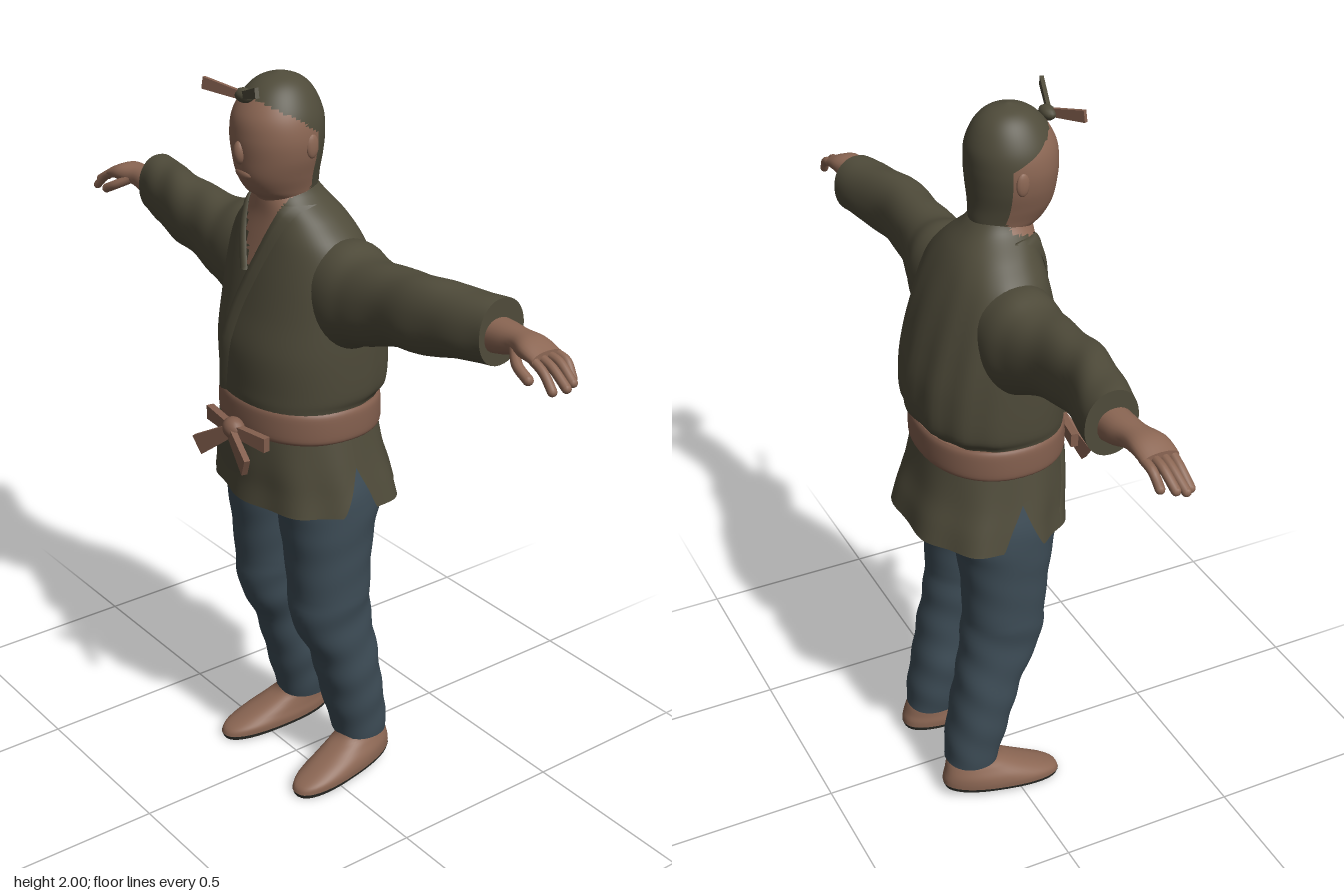
import * as THREE from 'three';

const mat = (name, color, side = THREE.FrontSide) => {
  const m = new THREE.MeshStandardMaterial({ color, side });
  m.name = name;
  return m;
};

// smooth interpolation through rows of numbers, t in 0..rows-1
function sampleRow(rows, t) {
  const i = Math.min(Math.floor(t), rows.length - 2), f = t - i;
  const b = rows[i], c = rows[i + 1];
  const a = rows[Math.max(i - 1, 0)], d = rows[Math.min(i + 2, rows.length - 1)];
  return b.map((_, k) => b[k] + 0.5 * f * (c[k] - a[k] + f * (2 * a[k] - 5 * b[k] + 4 * c[k] - d[k]
    + f * (3 * (b[k] - c[k]) + d[k] - a[k]))));
}

// rows: [y, centreX, centreZ, radiusX, radiusZ], rising in y
// warp scales the radius, arc limits the sweep, pick chooses a material index per face
function loft(rows, { seg = 40, sub = 5, n = 2.2, warp, arc, pick } = {}) {
  const pos = [], faces = [[], []], steps = (rows.length - 1) * sub;
  const cols = arc ? seg + 1 : seg;
  for (let i = 0; i <= steps; i++) {
    const [y, cx, cz, rx, rz] = sampleRow(rows, i / sub);
    const [a0, a1] = arc ? arc(i / steps) : [0, Math.PI * 2];
    for (let j = 0; j < cols; j++) {
      const a = a0 + (a1 - a0) * j / seg, c = Math.cos(a), s = Math.sin(a);
      const k = warp ? warp(a, y) : 1;
      pos.push(cx + k * rx * Math.sign(c) * Math.abs(c) ** (2 / n), y,
        cz + k * rz * Math.sign(s) * Math.abs(s) ** (2 / n));
    }
  }
  const add = (a, b, c) => {
    const mid = [0, 1, 2].map(k => (pos[a * 3 + k] + pos[b * 3 + k] + pos[c * 3 + k]) / 3);
    faces[pick ? pick(...mid) : 0].push(a, b, c);
  };
  for (let i = 0; i < steps; i++) for (let j = 0; j < seg; j++) {
    const j2 = (j + 1) % cols, a = i * cols + j, b = i * cols + j2;
    add(a, a + cols, b);
    add(b, a + cols, b + cols);
  }
  // flat end caps
  if (!arc) for (const end of [0, steps]) {
    const base = pos.length / 3, [y, cx, cz] = rows[end ? rows.length - 1 : 0];
    for (let j = 0; j < cols * 3; j++) pos.push(pos[end * cols * 3 + j]);
    pos.push(cx, y, cz);
    for (let j = 0; j < cols; j++) {
      const p = base + j, q = base + (j + 1) % cols;
      end ? add(p, base + cols, q) : add(p, q, base + cols);
    }
  }
  const g = new THREE.BufferGeometry();
  g.setAttribute('position', new THREE.Float32BufferAttribute(pos, 3));
  g.setIndex([...faces[0], ...faces[1]]);
  if (pick) {
    g.addGroup(0, faces[0].length, 0);
    g.addGroup(faces[0].length, faces[1].length, 1);
  }
  g.computeVertexNormals();
  return g;
}

export function createModel() {
  const model = new THREE.Group();
  const cloth = mat('olive cloth', 0x4f4b3a, THREE.DoubleSide);
  const skin = mat('skin', 0x8c6754);
  const beltMat = mat('brown belt', 0x835f4e);
  const denim = mat('blue trousers', 0x3d4c56);
  const soleMat = mat('dark sole', 0x2d2d28);
  const put = (name, geo, m, parent = model) => {
    const mesh = new THREE.Mesh(geo, m);
    mesh.name = name;
    parent.add(mesh);
    return mesh;
  };
  const V = (x, y, z) => new THREE.Vector3(x, y, z);

  // flat strip of cloth from a to b, flaring toward b
  const strip = (name, a, b, w, t, flare, m) => {
    const len = a.distanceTo(b), g = new THREE.BoxGeometry(t, w, len, 1, 1, 3), p = g.attributes.position;
    for (let i = 0; i < p.count; i++) p.setY(i, p.getY(i) * (1 + flare * (p.getZ(i) / len + 0.5)));
    g.computeVertexNormals();
    const mesh = put(name, g, m);
    mesh.position.copy(a).lerp(b, 0.5);
    mesh.lookAt(b);
  };

  // jacket body with the bare chest in the neckline
  const body = [[1.1, 0, -0.01, 0.212, 0.178], [1.16, 0, -0.005, 0.217, 0.183], [1.2, 0, -0.02, 0.229, 0.2],
    [1.3, 0, -0.02, 0.235, 0.2], [1.4, 0, -0.02, 0.235, 0.18], [1.5, 0, -0.015, 0.225, 0.155],
    [1.58, 0, -0.008, 0.2, 0.13], [1.64, 0, 0.002, 0.145, 0.108], [1.69, 0, 0.02, 0.088, 0.086],
    [1.72, 0, 0.028, 0.07, 0.07]];
  const folds = (a, y) => 1 + 0.018 * Math.max(0, -Math.sin(a)) * Math.sin(a * 14 + y * 3) * Math.min(1, (1.65 - y) * 4);
  put('jacketBody', loft(body, { seg: 72, sub: 7, warp: (a, y) => (y < 1.65 ? folds(a, y) : 1),
    pick: (x, y, z) => (z > 0.02 && y > 1.5 && Math.abs(x + 0.01) < (y - 1.5) * 0.42 ? 1 : 0) }), [cloth, skin]);

  // lapels laid on the front of the jacket
  const frontZ = (rows, x, y) => {
    let i = 0;
    while (i < rows.length - 2 && rows[i + 1][0] < y) i++;
    const f = (y - rows[i][0]) / (rows[i + 1][0] - rows[i][0]);
    const r = rows[i].map((v, k) => v + (rows[i + 1][k] - v) * f);
    return r[2] + r[4] * Math.max(0, 1 - Math.abs(x / r[3]) ** 2.2) ** (1 / 2.2);
  };
  const lapel = (name, pts, w, rows) => {
    const curve = new THREE.CatmullRomCurve3(pts.map(p => V(p[0], p[1], 0))), pos = [], idx = [];
    for (let i = 0; i <= 24; i++) {
      const { x, y } = curve.getPoint(i / 24);
      for (const [o, lift] of [[0, 0.001], [0.05, 0.01], [0.5, 0.011], [1, 0.002]]) {
        pos.push(x + o * w, y, frontZ(rows, x + o * w, y) + lift);
      }
      if (i) for (let k = 0; k < 3; k++) {
        const a = i * 4 + k, b = a - 4;
        idx.push(a, a + 1, b, b, a + 1, b + 1);
      }
    }
    const g = new THREE.BufferGeometry();
    g.setAttribute('position', new THREE.Float32BufferAttribute(pos, 3));
    g.setIndex(idx);
    g.computeVertexNormals();
    put(name, g, cloth);
  };
  lapel('rightLapel', [[-0.075, 1.68], [-0.055, 1.6], [-0.015, 1.5]], -0.035, body);
  lapel('leftLapel', [[0.07, 1.68], [0.035, 1.6], [-0.01, 1.5], [-0.06, 1.38], [-0.11, 1.16]], 0.04, body);

  // jacket skirt: front and back panels with side slits
  const skirt = [[0.875, 0, -0.035, 0.262, 0.213], [0.93, 0, -0.03, 0.25, 0.205],
    [1.0, 0, -0.018, 0.235, 0.195], [1.1, 0, -0.01, 0.215, 0.183]];
  const slit = t => 0.3 * Math.max(0, 1 - t * 1.5);
  const wave = (a, y) => 1 + 0.025 * (1.1 - y) * 5 * Math.sin(a * 9);
  put('skirtFront', loft(skirt, { arc: t => [slit(t), Math.PI - slit(t)], warp: wave }), cloth);
  put('skirtBack', loft(skirt, { arc: t => [Math.PI + slit(t) * 0.6, Math.PI * 2 - slit(t) * 0.6], warp: wave }), cloth);
  lapel('skirtOverlap', [[-0.15, 1.08], [-0.18, 0.98], [-0.205, 0.885]], 0.035, skirt);

  // belt, knot, loops and tails
  put('belt', loft([[1.075, 0, -0.01, 0.219, 0.186], [1.09, 0, -0.01, 0.226, 0.193], [1.145, 0, -0.01, 0.225, 0.192],
    [1.162, 0, -0.01, 0.218, 0.186]], { seg: 56 }), beltMat);
  put('beltKnot', new THREE.SphereGeometry(1, 16, 12).scale(0.035, 0.03, 0.028), beltMat).position.set(0, 1.085, 0.2);
  strip('beltLoopRight', V(0, 1.085, 0.205), V(-0.13, 1.08, 0.185), 0.03, 0.02, 0.3, beltMat);
  strip('beltLoopLeft', V(0, 1.085, 0.205), V(0.125, 1.08, 0.185), 0.03, 0.02, 0.3, beltMat);
  strip('beltTailRight', V(0, 1.08, 0.21), V(-0.105, 1.01, 0.24), 0.034, 0.016, 0.6, beltMat);
  strip('beltTailLeft', V(0, 1.08, 0.21), V(0.11, 1.025, 0.24), 0.034, 0.016, 0.6, beltMat);

  // head: bare face, covered top and back
  const head = [[1.62, 0, 0.02, 0.075, 0.075], [1.68, 0, 0.03, 0.072, 0.076], [1.71, 0, 0.045, 0.079, 0.096],
    [1.75, 0, 0.056, 0.094, 0.107], [1.8, 0, 0.058, 0.11, 0.113], [1.85, 0, 0.058, 0.116, 0.116],
    [1.9, 0, 0.056, 0.108, 0.111], [1.95, 0, 0.052, 0.082, 0.086], [1.98, 0, 0.05, 0.05, 0.052], [1.995, 0, 0.05, 0.004, 0.004]];
  put('head', loft(head, { seg: 64, sub: 8, n: 2.05,
    pick: (x, y, z) => (z < 0.012 + Math.max(0, y - 1.86) * 1.6 ? 1 : 0) }), [skin, cloth]);
  put('nose', new THREE.SphereGeometry(1, 14, 10).scale(0.017, 0.03, 0.016), skin).position.set(0, 1.812, 0.17);
  put('mouth', new THREE.SphereGeometry(1, 14, 10).scale(0.032, 0.014, 0.012), skin).position.set(0, 1.757, 0.158);
  for (const s of [1, -1]) {
    put(s > 0 ? 'leftEar' : 'rightEar', new THREE.SphereGeometry(1, 12, 10).scale(0.008, 0.03, 0.018), skin)
      .position.set(s * 0.113, 1.83, 0.035);
  }
  // headscarf knot on the forehead
  put('scarfKnot', new THREE.SphereGeometry(1, 12, 10).scale(0.03, 0.018, 0.02), cloth).position.set(0, 1.95, 0.155);
  strip('scarfTailRight', V(0, 1.95, 0.16), V(-0.1, 1.968, 0.205), 0.02, 0.01, 0.5, beltMat);
  strip('scarfTailLeft', V(0, 1.95, 0.16), V(0.11, 1.985, 0.195), 0.018, 0.01, 0.4, cloth);

  for (const s of [1, -1]) {
    const side = s > 0 ? 'left' : 'right';
    const drift = x => (s > 0 ? 0 : 0.033 * x / 0.7);

    // arm parts are lofted upright, then laid out sideways: [x, y, z, ry, rz]
    const limb = (name, rows, m, opts) => put(name,
      loft(rows.map(([x, y, z, ry, rz]) => [x, -s * y, z + drift(x), ry, rz]), opts).rotateZ(-s * Math.PI / 2), m);
    limb(side + 'Sleeve', [[0.08, 1.47, -0.02, 0.12, 0.1], [0.2, 1.465, -0.02, 0.138, 0.11],
      [0.28, 1.472, -0.015, 0.118, 0.09], [0.38, 1.492, -0.012, 0.1, 0.075], [0.48, 1.505, -0.015, 0.098, 0.068],
      [0.58, 1.512, -0.035, 0.09, 0.068], [0.66, 1.517, -0.06, 0.083, 0.07], [0.695, 1.517, -0.068, 0.081, 0.07]], cloth,
      { sub: 7, warp: (a, x) => 1 + 0.025 * Math.sin(x * 38 + Math.sin(a) * 3) * Math.min(1, x * 3) });
    limb(side + 'Hand', [[0.66, 1.508, -0.06, 0.046, 0.046], [0.72, 1.514, -0.06, 0.04, 0.042],
      [0.77, 1.522, -0.056, 0.031, 0.036], [0.82, 1.525, -0.05, 0.026, 0.046], [0.865, 1.515, -0.05, 0.018, 0.046]], skin, { seg: 24 });

    // fingers and thumb
    const finger = (name, pts, r) => {
      const path = new THREE.CatmullRomCurve3(pts.map(([x, y, z]) => V(s * x, y, z + drift(x))));
      put(name, new THREE.TubeGeometry(path, 10, r, 10), skin);
      put(name + 'Tip', new THREE.SphereGeometry(r, 10, 8), skin).position.copy(path.getPoint(1));
    };
    for (let i = 0; i < 4; i++) {
      const z = -0.016 - i * 0.023, reach = [0.925, 0.945, 0.94, 0.915][i], droop = [0.03, 0.012, 0, 0.008][i];
      finger(`${side}Finger${i + 1}`, [[0.85, 1.517, z], [0.89, 1.512 - droop / 2, z], [reach, 1.48 - droop / 2, z + 0.004]], 0.0115);
    }
    finger(side + 'Thumb', [[0.78, 1.515, -0.03], [0.82, 1.492, -0.004], [0.86, 1.473, 0]], 0.013);

    // trouser leg with creases at the knee and ankle
    put(side + 'TrouserLeg', loft([[0.115, 0.133, -0.123, 0.073, 0.074], [0.2, 0.13, -0.107, 0.084, 0.082],
      [0.3, 0.128, -0.085, 0.092, 0.086], [0.4, 0.13, -0.062, 0.089, 0.094], [0.5, 0.123, -0.028, 0.094, 0.112],
      [0.6, 0.123, -0.018, 0.102, 0.112], [0.7, 0.121, -0.015, 0.108, 0.117], [0.8, 0.119, -0.015, 0.115, 0.13],
      [0.9, 0.117, -0.02, 0.117, 0.15], [1.05, 0.1, -0.015, 0.1, 0.15]].map(r => [r[0], s * r[1], ...r.slice(2)]),
      { sub: 7, warp: (a, y) => 1 + (y < 0.6 ? 0.02 : 0.008) * Math.sin(y * 55 + Math.sin(a) * 2.5 + s * Math.cos(a)) }), denim);

    // shoe, sole and strap, sloping down to the toe
    const foot = new THREE.Group();
    foot.name = side + 'Foot';
    foot.position.set(s * 0.158, 0, -0.04);
    foot.rotation.y = s * 0.12;
    model.add(foot);
    const slope = g => {
      const p = g.attributes.position;
      for (let i = 0; i < p.count; i++) p.setY(i, p.getY(i) + (0.17 - p.getZ(i)) * 0.095);
      g.computeVertexNormals();
      return g;
    };
    put(side + 'Sole', slope(loft([[0, 0, 0, 0.06, 0.168], [0.012, 0, 0, 0.064, 0.172]], { n: 2.4 })), soleMat, foot);
    put(side + 'Shoe', slope(loft([[0.012, 0, 0, 0.065, 0.172], [0.03, 0, -0.005, 0.066, 0.166],
      [0.05, 0, -0.028, 0.062, 0.138], [0.075, -s * 0.004, -0.06, 0.054, 0.1],
      [0.1, -s * 0.008, -0.08, 0.048, 0.072], [0.15, -s * 0.012, -0.085, 0.05, 0.06]], { n: 2.3 })), skin, foot);
    const strap = put(side + 'Strap', new THREE.TorusGeometry(0.058, 0.006, 8, 20, Math.PI), beltMat, foot);
    strap.position.set(0, 0.025, 0.035);
    strap.rotation.x = -0.35;
  }
  return model;
}
